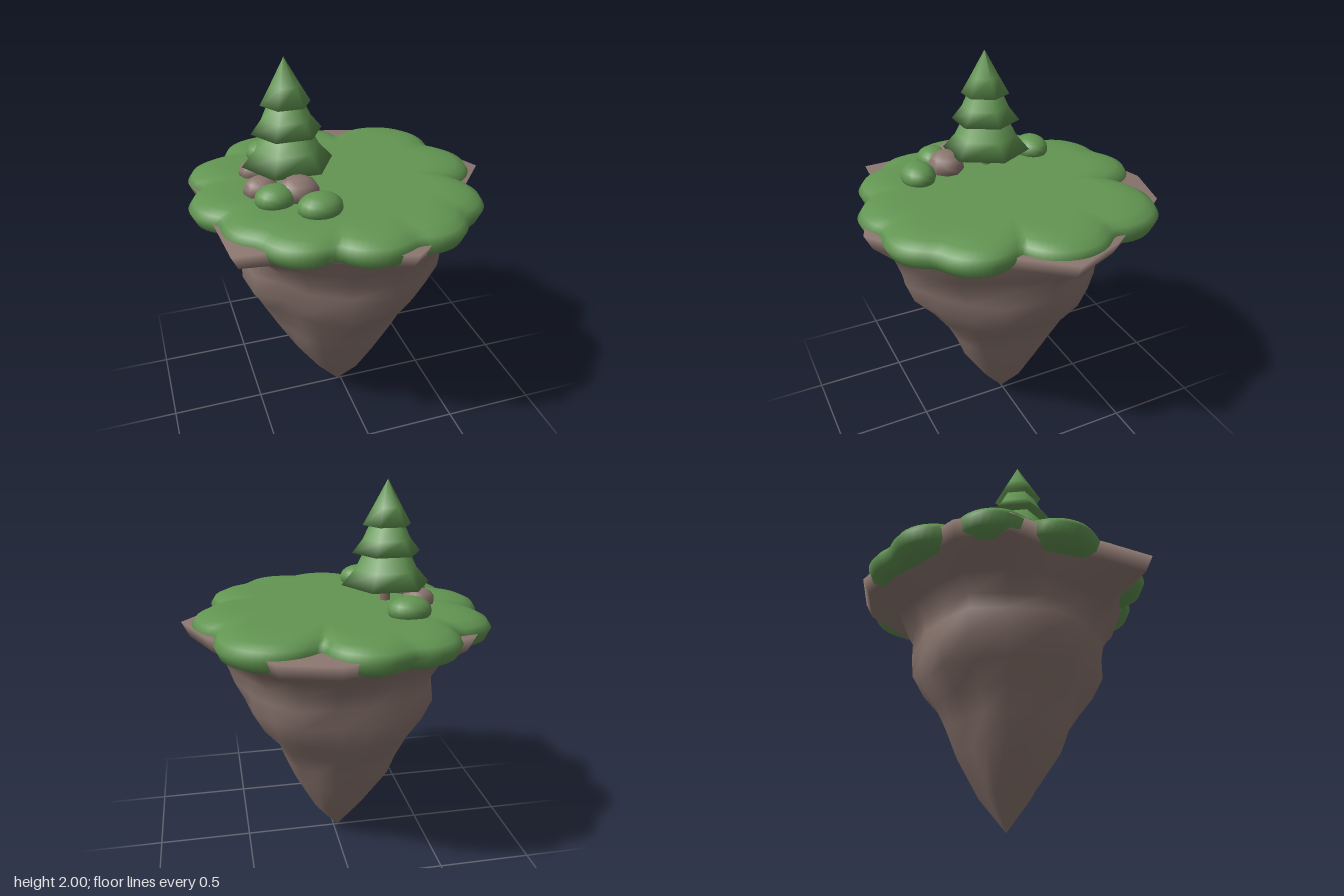
import * as THREE from 'three';

const mat = (name, color) => Object.assign(new THREE.MeshStandardMaterial({ color }), { name });

// Closed smooth skin over rings of points, listed from the bottom to the top
function loft(rings) {
  const n = rings[0].length, pos = rings.flat(2), index = [];
  for (let j = 0; j < rings.length - 1; j++) {
    for (let i = 0; i < n; i++) {
      const k = (i + 1) % n, a = j * n + i, b = j * n + k;
      index.push(a, a + n, b, b, a + n, b + n);
    }
  }
  const g = new THREE.BufferGeometry();
  g.setAttribute('position', new THREE.Float32BufferAttribute(pos, 3));
  g.setIndex(index);
  g.computeVertexNormals();
  return g;
}

// Jagged rim: [degrees, radius]
const RIM = [[0, 0.79], [24, 0.63], [45, 0.69], [64, 0.70], [82, 0.785], [102, 0.70], [125, 0.68],
  [141.5, 0.865], [161, 0.74], [180, 0.69], [200, 0.80], [220, 0.78], [240, 0.70], [260, 0.73],
  [278, 0.785], [299, 0.80], [319, 0.72], [338, 0.73]];

// Cliff sections: height and reach towards +x, -x, +z, -z
const CLIFF = [
  [0.17, 0.12, 0.16, 0.13, 0.13], [0.38, 0.23, 0.31, 0.26, 0.25], [0.50, 0.28, 0.36, 0.31, 0.30],
  [0.62, 0.33, 0.42, 0.38, 0.36], [0.73, 0.42, 0.49, 0.46, 0.45], [0.85, 0.50, 0.56, 0.54, 0.48],
  [0.96, 0.53, 0.56, 0.56, 0.48], [1.04, 0.54, 0.55, 0.58, 0.49], [1.13, 0.58, 0.60, 0.63, 0.56],
];

function cliffGeometry() {
  const ring = (y, radius, cx = 0) => RIM.map(([deg, rim]) => {
    const a = THREE.MathUtils.degToRad(deg), r = radius(a, rim);
    return [cx + Math.cos(a) * r, y, Math.sin(a) * r];
  });
  const rings = [ring(0, () => 0, -0.02)];
  CLIFF.forEach(([y, xp, xn, zp, zn]) => rings.push(ring(y, a => {
    const c = Math.cos(a), s = Math.sin(a);
    const r = 1 / Math.hypot(c / (c > 0 ? xp : xn), s / (s > 0 ? zp : zn));
    // hollow on the front right flank, then general lumpiness
    const hollow = 0.11 * Math.exp(-(((a - 2.5) / 0.4) ** 2) - (((y - 0.92) / 0.3) ** 2));
    return r * (1 - hollow + 0.03 * Math.sin(5 * a + 7 * y) + 0.025 * Math.sin(8 * a - 11 * y + 1));
  })));
  rings.push(ring(1.23, (a, rim) => rim * 0.95), ring(1.31, (a, rim) => rim), ring(1.31, () => 0));
  return loft(rings);
}

// Turf lobes: x, z, radius
const LOBES = [[-0.3, -0.5, 0.22], [-0.07, -0.55, 0.23], [0.36, -0.38, 0.28], [0.48, -0.06, 0.26],
  [0.4, 0.33, 0.23], [0.24, 0.5, 0.22], [-0.02, 0.52, 0.24], [-0.32, 0.44, 0.23],
  [-0.48, 0.3, 0.2], [-0.57, 0.04, 0.22], [-0.55, -0.28, 0.2]];

function turfGeometry() {
  const N = 144, rings = Array.from({ length: 11 }, () => []);
  for (let i = 0; i < N; i++) {
    const a = i / N * Math.PI * 2, c = Math.cos(a), s = Math.sin(a);
    // softened outline of the lobes, and how near the farthest lobe's middle it is
    let far = 0, w = 0, sum = 0;
    for (const [x, z, r] of LOBES) {
      const along = x * c + z * s, side = x * s - z * c;
      if (along < 0 || Math.abs(side) >= r) continue;
      const half = Math.sqrt(r * r - side * side);
      sum += Math.exp(50 * (along + half));
      if (along + half > far) { far = along + half; w = half / r; }
    }
    const R = Math.log(sum) / 50;
    w = THREE.MathUtils.smoothstep(w, 0.4, 0.97);
    const section = [[0, 1.28], [R - 0.28, 1.28], [R - 0.16, 1.29 - 0.07 * w], [R - 0.09, 1.29 - 0.075 * w],
      [R - 0.025, 1.29 - 0.04 * w], [R, 1.305], [R - 0.025, 1.342], [R - 0.08, 1.367],
      [R - 0.16, 1.38], [R - 0.25, 1.384], [0, 1.38]];
    section.forEach(([r, y], j) => rings[j].push([c * r, y, s * r]));
  }
  return loft(rings);
}

export function createModel() {
  const green = mat('grass green', 0x629552);
  const stone = mat('stone', 0x8b766f);
  const bark = mat('bark', 0x8a6f64);

  const model = new THREE.Group();
  model.name = 'floatingIsland';
  const add = (name, geometry, material, parent = model) => {
    const m = new THREE.Mesh(geometry, material);
    m.name = name;
    parent.add(m);
    return m;
  };

  add('cliff', cliffGeometry(), stone);
  add('turf', turfGeometry(), green);

  // Six-sided fir with three flared, softly shaded tiers
  const tree = new THREE.Group();
  tree.name = 'tree';
  tree.position.set(-0.27, 0, -0.03);
  model.add(tree);
  add('trunk', new THREE.CylinderGeometry(0.025, 0.028, 0.2, 6), bark, tree).position.y = 1.44;
  const tiers = [
    [[0, 1.475], [0.235, 1.47], [0.165, 1.55], [0.115, 1.65], [0, 1.68]],
    [[0, 1.64], [0.18, 1.635], [0.125, 1.705], [0.085, 1.79], [0, 1.82]],
    [[0, 1.78], [0.127, 1.775], [0.075, 1.865], [0, 2]],
  ];
  tiers.forEach((profile, i) => {
    const g = loft(profile.map(([r, y]) => Array.from({ length: 6 }, (_, k) =>
      [r * Math.cos(k * Math.PI / 3), y, r * Math.sin(k * Math.PI / 3)])));
    add('foliageTier' + (i + 1), g, green, tree);
  });

  // Bushes and boulders: x, z, half width, half depth, top
  const mounds = (name, material, w, h, list) => list.forEach(([x, z, rx, rz, top], i) => {
    const m = add(name + (i + 1), new THREE.SphereGeometry(1, w, h), material);
    const ry = (top - 1.34) / 2;
    m.scale.set(rx, ry, rz);
    m.position.set(x, top - ry, z);
  });
  mounds('bush', green, 16, 12, [[-0.315, -0.33, 0.11, 0.09, 1.477], [-0.222, 0.38, 0.11, 0.09, 1.477],
    [-0.4, 0.23, 0.1, 0.085, 1.475]]);
  mounds('boulder', stone, 9, 7, [[-0.42, -0.125, 0.088, 0.075, 1.462], [-0.44, 0.1, 0.09, 0.08, 1.468],
    [-0.28, 0.2, 0.108, 0.095, 1.49]]);

  return model;
}
